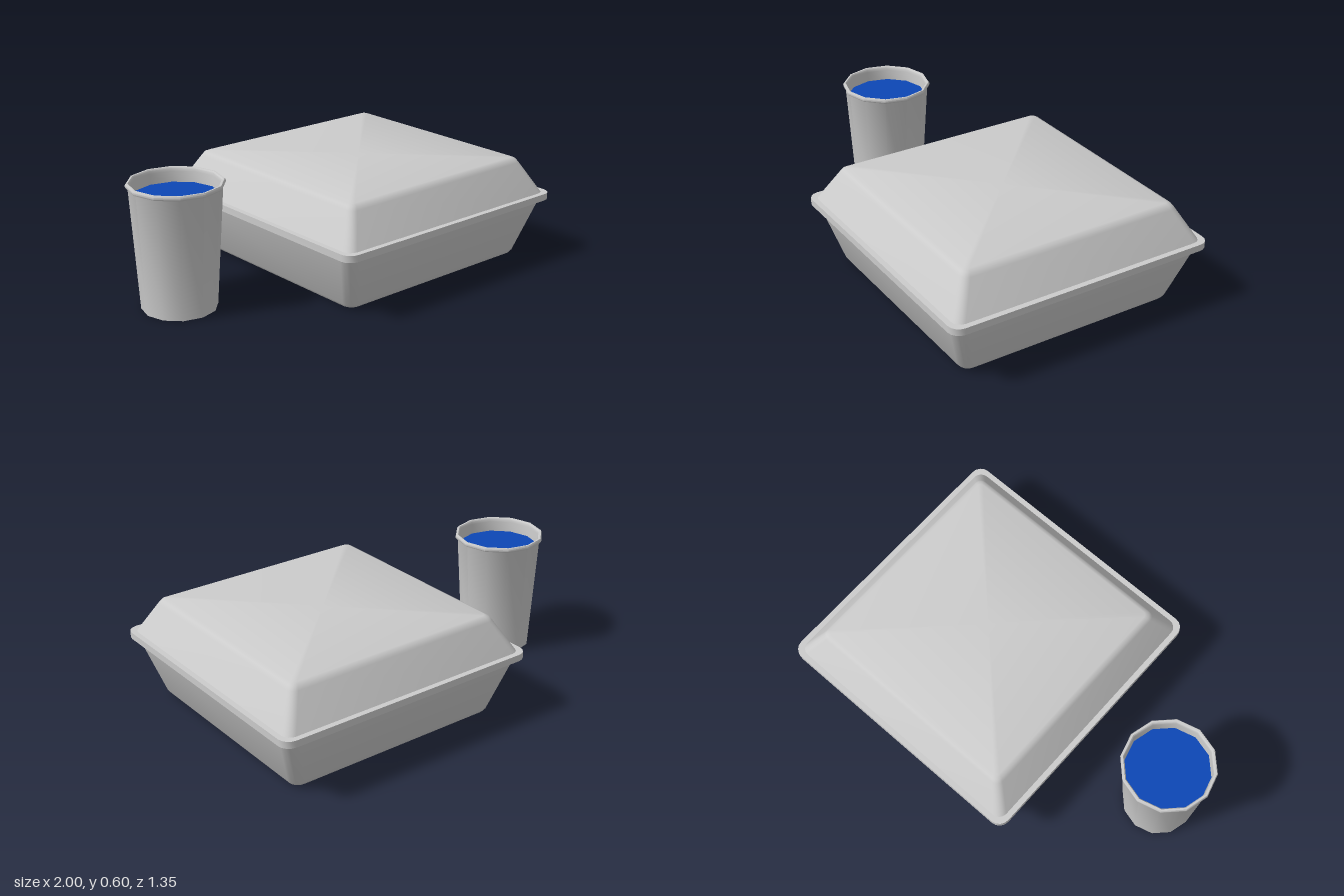
import * as THREE from 'three';
import { toCreasedNormals } from 'three/addons/utils/BufferGeometryUtils.js';

const CORNER_STEPS = 4;
const grey = new THREE.MeshStandardMaterial({ color: 0xcccccc });
const blue = new THREE.MeshStandardMaterial({ color: 0x0d47b5 });

function addMesh(parent, name, geometry, material = grey) {
  const mesh = new THREE.Mesh(geometry, material);
  mesh.name = name;
  parent.add(mesh);
  return mesh;
}

// Stacks rounded squares [half size, corner radius, y] from bottom to top and caps both ends.
function loftSquares(sections) {
  const positions = [], index = [];
  const corners = [[1, 1], [1, -1], [-1, -1], [-1, 1]];
  const n = 4 * (CORNER_STEPS + 1);
  for (const [half, radius, y] of sections) {
    corners.forEach(([sx, sz], c) => {
      for (let i = 0; i <= CORNER_STEPS; i++) {
        const a = (c + i / CORNER_STEPS) * Math.PI / 2;
        positions.push(sx * (half - radius) + radius * Math.sin(a), y,
          sz * (half - radius) + radius * Math.cos(a));
      }
    });
  }
  for (let s = 0; s < sections.length - 1; s++) {
    for (let i = 0; i < n; i++) {
      const a = s * n + i, b = s * n + (i + 1) % n;
      index.push(a, b, a + n, b, b + n, a + n);
    }
  }
  const last = (sections.length - 1) * n, base = sections.length * n;
  positions.push(0, sections[0][2], 0, 0, sections[sections.length - 1][2], 0);
  for (let i = 0; i < n; i++) {
    const j = (i + 1) % n;
    index.push(base, j, i, base + 1, last + i, last + j);
  }
  const geometry = new THREE.BufferGeometry();
  geometry.setAttribute('position', new THREE.Float32BufferAttribute(positions, 3));
  geometry.setIndex(index);
  return toCreasedNormals(geometry, 0.7);
}

export function createModel() {
  const model = new THREE.Group();

  // Takeaway box: tapered tray, flat rim and tapered lid
  const box = new THREE.Group();
  box.name = 'foodBox';
  box.position.x = 0.323;
  model.add(box);
  addMesh(box, 'tray', loftSquares([
    [0.535, 0.035, 0.005], [0.552, 0.045, 0.009], [0.564, 0.052, 0.025], [0.652, 0.06, 0.3],
  ]));
  addMesh(box, 'rim', loftSquares([
    [0.677, 0.055, 0.295], [0.677, 0.055, 0.328],
  ]));
  addMesh(box, 'lid', loftSquares([
    [0.652, 0.045, 0.325], [0.565, 0.035, 0.48], [0.553, 0.03, 0.497], [0.535, 0.02, 0.505],
  ]));

  // Twelve-sided cup with a rolled lip
  const cup = new THREE.Group();
  cup.name = 'cup';
  cup.position.x = -0.778;
  model.add(cup);
  const profile = [
    [0, 0], [0.176, 0], [0.212, 0.578], [0.219, 0.578], [0.223, 0.584], [0.223, 0.593],
    [0.219, 0.6], [0.211, 0.6], [0.206, 0.594], [0.204, 0.58], [0.2, 0.51],
  ].map(([r, y]) => new THREE.Vector2(r, y));
  addMesh(cup, 'cupWall', toCreasedNormals(new THREE.LatheGeometry(profile, 12), 0.7));

  // Drink surface
  const drink = addMesh(cup, 'drink', new THREE.CircleGeometry(0.202, 12), blue);
  drink.rotation.x = -Math.PI / 2;
  drink.position.y = 0.53;

  return model;
}
